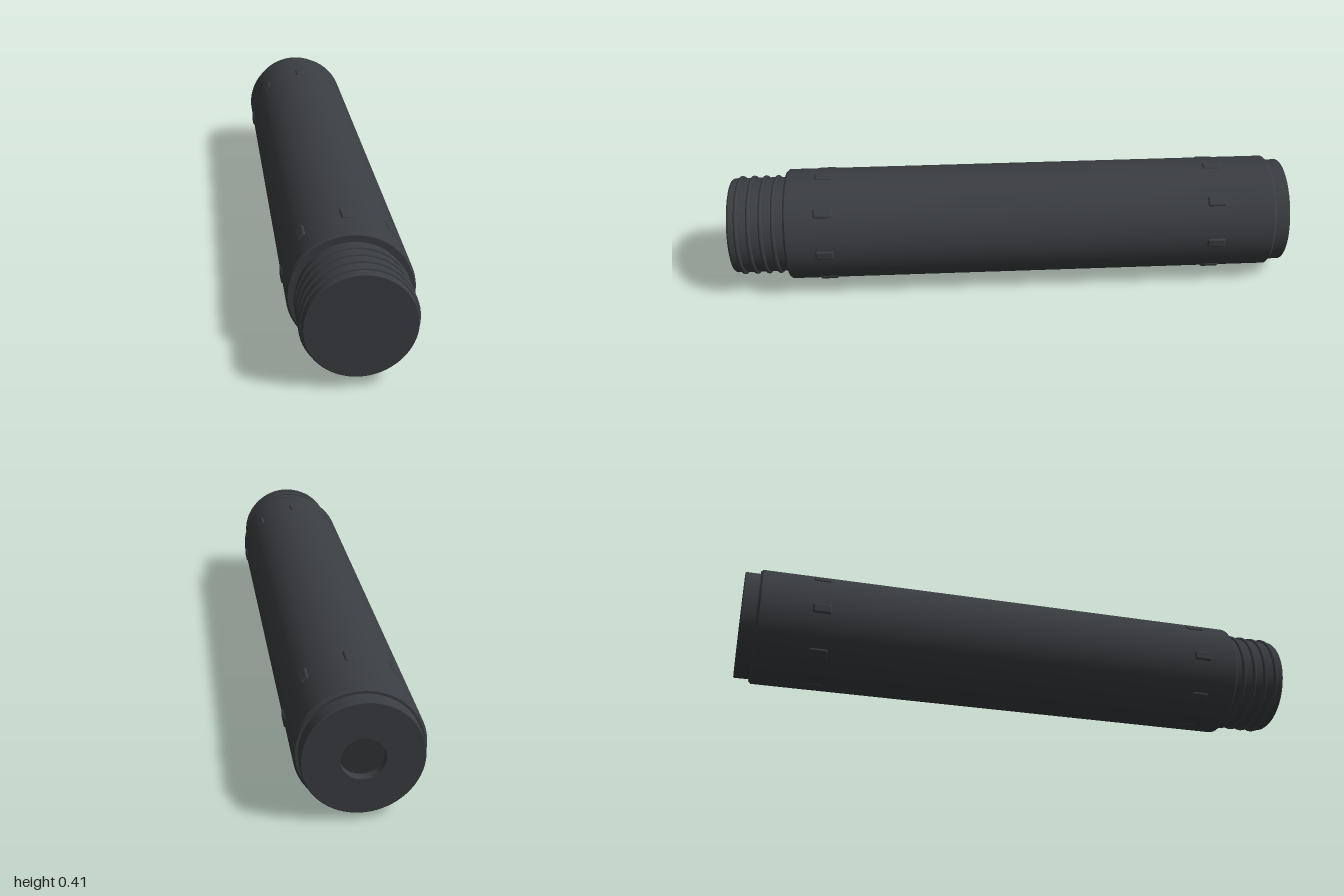
import * as THREE from 'three';
import { toCreasedNormals } from 'three/addons/utils/BufferGeometryUtils.js';
import { RoundedBoxGeometry } from 'three/addons/geometries/RoundedBoxGeometry.js';

const AXIS_Y = 0.205;
const BODY_R = 0.2;

export function createModel() {
  const model = new THREE.Group();
  model.name = 'threadedTube';
  const dark = new THREE.MeshStandardMaterial({ color: 0x3a3d41 });
  const darker = new THREE.MeshStandardMaterial({ color: 0x303234 });

  // Everything is turned around the z axis; profile points are [radius, z], from back to front
  const tube = new THREE.Group();
  tube.name = 'tube';
  tube.position.y = AXIS_Y;
  model.add(tube);

  function addTurned(name, profile, material = dark) {
    const points = profile.map(([r, z]) => new THREE.Vector2(r, z));
    const geometry = new THREE.LatheGeometry(points, 64).rotateX(Math.PI / 2);
    const mesh = new THREE.Mesh(toCreasedNormals(geometry, 0.5), material);
    mesh.name = name;
    tube.add(mesh);
  }

  // Main barrel with bevelled rims
  addTurned('body', [
    [0, -0.948], [0.193, -0.948], [BODY_R, -0.94],
    [BODY_R, 0.793], [0.194, 0.8], [0, 0.8],
  ]);

  // Back cap with a round recess
  addTurned('backCap', [
    [0.068, -0.97], [0.068, -1], [0.182, -1], [0.185, -0.997], [0.185, -0.945],
  ]);
  addTurned('recessFloor', [[0, -0.97], [0.068, -0.97]], darker);

  // Front plug and its thread ridges
  addTurned('frontPlug', [
    [0.172, 0.79], [0.172, 0.994], [0.168, 1], [0, 1],
  ]);
  for (const z of [0.838, 0.881, 0.924, 0.967]) {
    const ridge = new THREE.Mesh(new THREE.TorusGeometry(0.172, 0.008, 10, 64), dark);
    ridge.name = 'threadRidge';
    ridge.position.z = z;
    tube.add(ridge);
  }

  // Two rings of eight small grip studs
  const studGeometry = new RoundedBoxGeometry(0.036, 0.024, 0.066, 3, 0.008);
  studGeometry.translate(0, BODY_R - 0.007, 0);
  for (const z of [0.66, -0.735]) {
    for (let i = 0; i < 8; i++) {
      const stud = new THREE.Mesh(studGeometry, dark);
      stud.name = 'gripStud';
      stud.position.z = z;
      stud.rotation.z = (i * Math.PI) / 4;
      tube.add(stud);
    }
  }

  return model;
}
